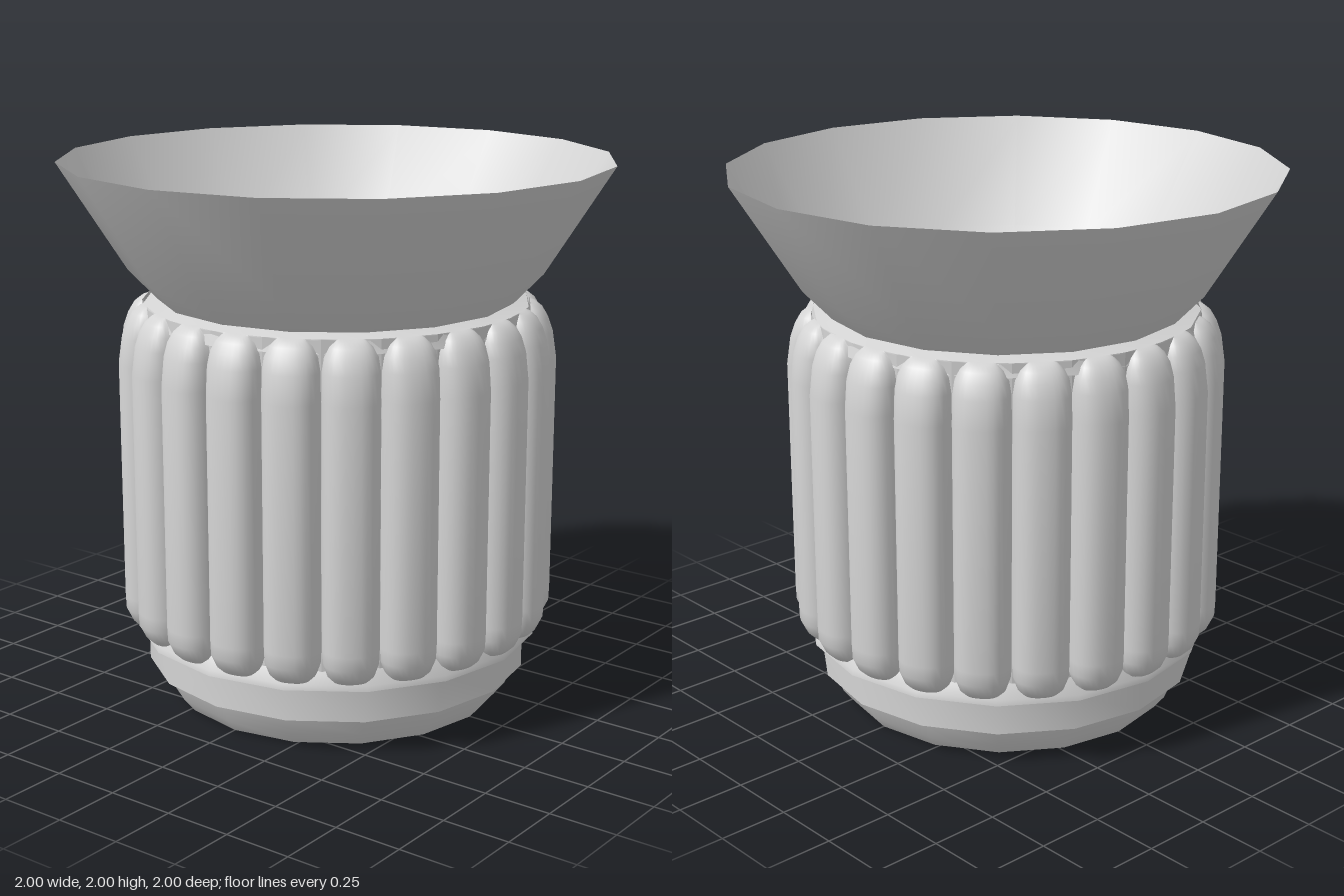
import * as THREE from 'three';
import { toCreasedNormals } from 'three/addons/utils/BufferGeometryUtils.js';

const SIDES = 16, FLUTES = 22, WALL = 0.7;

// Open turned shell from [radius, height] points
function turned(name, points, material) {
  const lathe = new THREE.LatheGeometry(points.map(([r, y]) => new THREE.Vector2(r, y)), SIDES);
  const mesh = new THREE.Mesh(toCreasedNormals(lathe, 0.8), material);
  mesh.name = name;
  return mesh;
}

// One hollow flute bulging out of its strip of wall, lofted from bottom to top
function fluteGeometry() {
  const cell = WALL * Math.tan(Math.PI / FLUTES);
  // height, half width, outward depth
  const sections = [
    [0.27, 0.04, 0], [0.272, 0.045, 0.025], [0.285, 0.064, 0.055], [0.305, 0.083, 0.076],
    [0.35, 0.098, 0.098], [0.4, 0.1, 0.1], [1.28, 0.1, 0.1],
    [1.38, 0.099, 0.085], [1.43, 0.091, 0.067], [1.465, 0.073, 0.046],
    [1.485, 0.052, 0.02], [1.49, 0.045, 0],
  ];
  const arc = 14, n = arc + 3, positions = [], index = [];
  for (const [y, w, out] of sections) {
    positions.push(-cell, y, WALL);
    for (let i = 0; i <= arc; i++) {
      const a = Math.PI * (1 - i / arc), c = Math.cos(a);
      const x = w * Math.sign(c) * Math.abs(c) ** 0.85;
      positions.push(x, y, WALL + out * Math.max(0, Math.sin(a)) ** 0.85);
    }
    positions.push(cell, y, WALL);
  }
  for (let k = 0; k < sections.length - 1; k++) {
    for (let i = 0; i < n - 1; i++) {
      const a = k * n + i, b = a + 1;
      index.push(a, b, a + n, b, b + n, a + n);
    }
  }
  const geometry = new THREE.BufferGeometry();
  geometry.setAttribute('position', new THREE.Float32BufferAttribute(positions, 3));
  geometry.setIndex(index);
  return toCreasedNormals(geometry, 0.9);
}

export function createModel() {
  const model = new THREE.Group();
  model.name = 'flutedCollar';
  const grey = new THREE.MeshStandardMaterial({ color: 0xd4d4d4, side: THREE.DoubleSide });
  grey.name = 'light grey';

  // Stepped foot with a rounded lower lip and a sloping shoulder under the flutes
  model.add(turned('baseRing', [
    [0.61, 0], [0.65, 0.05], [0.68, 0.125], [0.71, 0.125],
    [0.71, 0.255], [0.75, 0.255], [0.747, 0.275], [0.71, 0.33],
  ], grey));

  // Flared rim with a sloping ledge over the flutes
  model.add(turned('flaredRim', [[0.65, 1.5], [0.755, 1.61], [1, 2]], grey));
  model.add(turned('upperLedge', [[0.72, 1.44], [0.705, 1.485], [0.65, 1.5]], grey));

  // Ring of flutes
  const flutes = new THREE.Group();
  flutes.name = 'flutes';
  const geometry = fluteGeometry();
  for (let i = 0; i < FLUTES; i++) {
    const flute = new THREE.Mesh(geometry, grey);
    flute.name = 'flute';
    flute.rotation.y = (i / FLUTES) * Math.PI * 2;
    flutes.add(flute);
  }
  model.add(flutes);
  return model;
}
